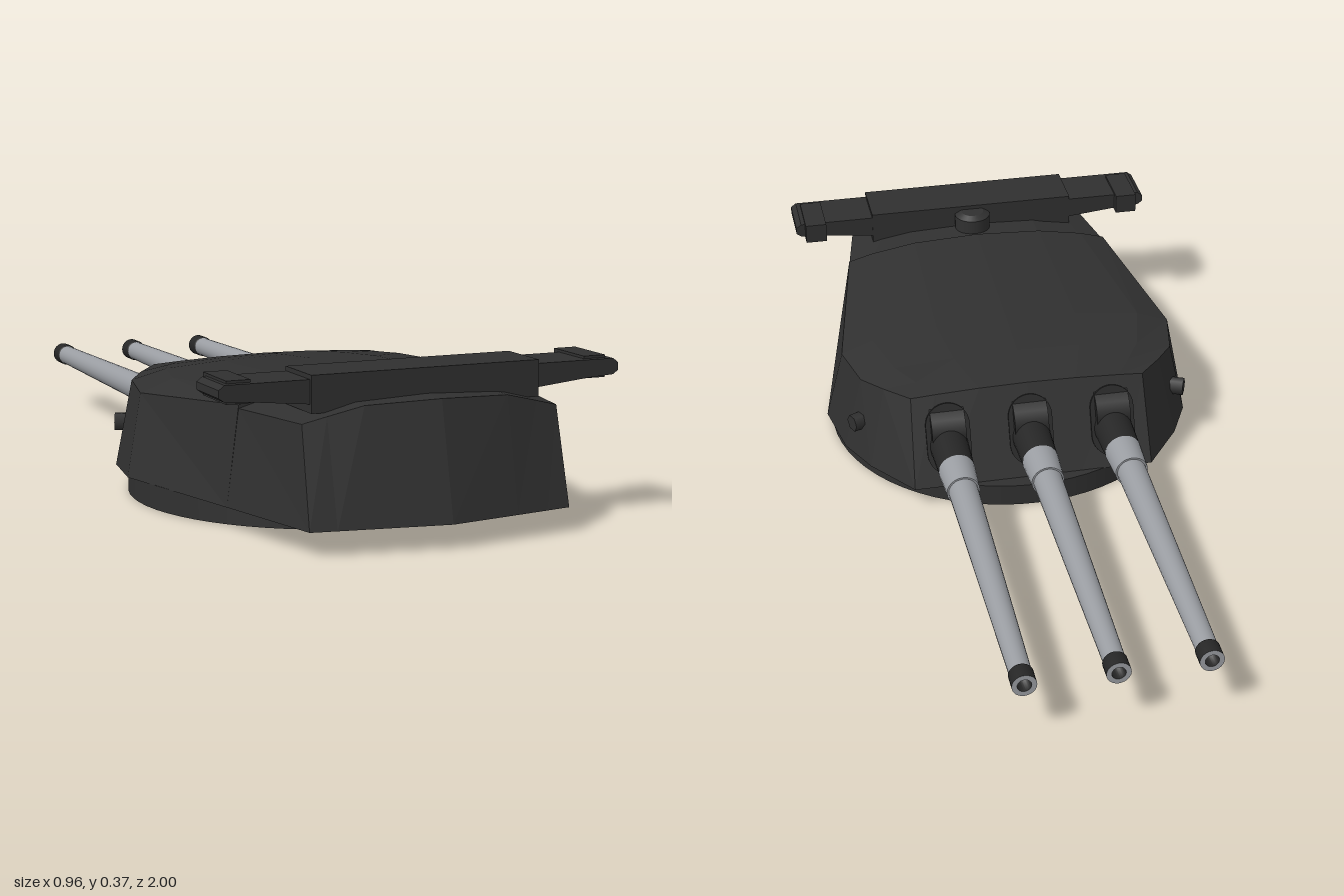
import * as THREE from 'three';

const mat = (name, color, side = THREE.FrontSide) => {
  const m = new THREE.MeshStandardMaterial({ color, side });
  m.name = name;
  return m;
};

// Lofts mirrored half-sections (outer edge to centre line), rear to front, and closes the floor
function loftHull(rows) {
  const full = rows.map(h => [
    ...h.map(([x, y, z]) => [-x, y, z]),
    ...h.slice(0, -1).reverse(),
  ]);
  const pos = [];
  const tri = (a, b, c) => {
    const t = new THREE.Triangle(...[a, b, c].map(p => new THREE.Vector3(...p)));
    if (t.getArea() > 1e-7) pos.push(...a, ...b, ...c);
  };
  const last = full[0].length - 1;
  for (let r = 0; r < full.length - 1; r++) {
    for (let c = 0; c < last; c++) {
      const [a, b, d, e] = [full[r][c], full[r][c + 1], full[r + 1][c + 1], full[r + 1][c]];
      tri(a, b, d);
      tri(a, d, e);
    }
  }
  const loop = [
    ...full[0],
    ...full.slice(1).map(r => r[last]),
    ...full[full.length - 1].slice().reverse(),
    ...full.slice(1).map(r => r[0]).reverse(),
  ];
  const mid = [0, loop[0][1], 0.35];
  loop.forEach((p, i) => tri(mid, loop[(i + 1) % loop.length], p));
  const g = new THREE.BufferGeometry();
  g.setAttribute('position', new THREE.Float32BufferAttribute(pos, 3));
  g.computeVertexNormals();
  return g;
}

export function createModel() {
  const model = new THREE.Group();
  model.name = 'gunTurret';
  const armour = mat('charcoal armour', 0x303030);
  const dark = mat('dark fittings', 0x262626, THREE.DoubleSide);
  const steel = mat('barrel steel', 0x9a9da2);

  const add = (name, geo, material, x = 0, y = 0, z = 0, parent = model) => {
    const m = new THREE.Mesh(geo, material);
    m.name = name;
    m.position.set(x, y, z);
    parent.add(m);
    return m;
  };

  // Turntable ring
  add('baseRing', new THREE.CylinderGeometry(0.45, 0.45, 0.056, 64), armour, 0, 0.028, 0.305);

  // Armoured house: each row is floor edge, roof edge, shoulder, quarter, centre
  const f = 0.055;
  add('armouredHouse', loftHull([
    [[0.31, f, 0.95], [0.31, f, 0.95], [0.25, f, 0.96], [0.17, f, 0.973], [0, f, 1]],
    [[0.31, f, 0.95], [0.304, 0.274, 0.895], [0.25, 0.288, 0.904], [0.17, 0.308, 0.917], [0, 0.315, 0.94]],
    [[0.377, f, 0.66], [0.349, 0.272, 0.66], [0.285, 0.29, 0.66], [0.17, 0.31, 0.66], [0, 0.317, 0.66]],
    [[0.377, f, 0.66], [0.349, 0.28, 0.66], [0.285, 0.298, 0.66], [0.17, 0.318, 0.66], [0, 0.326, 0.66]],
    [[0.468, f, 0.275], [0.426, 0.247, 0.25], [0.345, 0.277, 0.25], [0.18, 0.297, 0.25], [0, 0.303, 0.25]],
    [[0.442, f, 0.12], [0.397, 0.254, 0.11], [0.31, 0.276, 0.11], [0.16, 0.287, 0.11], [0, 0.291, 0.11]],
    [[0.392, f, 0.016], [0.35, 0.261, 0.045], [0.27, 0.274, 0.04], [0.14, 0.281, 0.04], [0, 0.284, 0.04]],
    [[0.3, f, -0.108], [0.292, 0.266, -0.02], [0.23, 0.27, -0.02], [0.12, 0.275, -0.02], [0, 0.277, -0.02]],
    [[0.3, f, -0.108], [0.3, f, -0.108], [0.23, f, -0.108], [0.12, f, -0.108], [0, f, -0.108]],
  ]), armour);

  // Rangefinder across the rear roof
  add('rangefinderBody', new THREE.BoxGeometry(0.544, 0.082, 0.135), armour, 0, 0.331, 0.805);
  add('rangefinderHatch', new THREE.CylinderGeometry(0.047, 0.047, 0.045, 24), armour, 0, 0.33, 0.727);
  add('hatchCap', new THREE.CylinderGeometry(0.03, 0.047, 0.01, 24), armour, 0, 0.357, 0.727);
  const arm = new THREE.Shape([
    [0.26, 0.308], [0.4, 0.322], [0.465, 0.326], [0.478, 0.335],
    [0.478, 0.352], [0.465, 0.362], [0.26, 0.362],
  ].map(p => new THREE.Vector2(...p)));
  for (const s of [1, -1]) {
    const side = new THREE.Group();
    side.name = s > 0 ? 'leftRangefinderArm' : 'rightRangefinderArm';
    side.rotation.y = s > 0 ? 0 : Math.PI;
    side.position.z = s > 0 ? 0 : 1.605;
    model.add(side);
    const geo = new THREE.ExtrudeGeometry(arm, { depth: 0.125, bevelEnabled: false });
    add('arm', geo, armour, 0, 0, 0.74, side);
    add('opticHousing', new THREE.BoxGeometry(0.055, 0.05, 0.13), armour, 0.427, 0.343, s > 0 ? 0.783 : 0.822, side);
    // Side lug on the house wall
    const lug = add('sideLug', new THREE.CylinderGeometry(0.022, 0.022, 0.05, 6), armour, s * 0.405, 0.15, 0.085);
    lug.rotation.set(0, s * 0.42, Math.PI / 2);
  }

  // Capsule gun port laid on the sloping front plate
  const port = new THREE.Shape();
  port.absarc(0, 0.035, 0.055, 0, Math.PI);
  port.absarc(0, -0.035, 0.055, Math.PI, Math.PI * 2);
  const portGeo = new THREE.ExtrudeGeometry(port, { depth: 0.009, bevelEnabled: false });

  // Turned profile along the barrel axis
  const turned = pts => new THREE.LatheGeometry(
    pts.map(([r, z]) => new THREE.Vector2(r, z)), 24).rotateX(-Math.PI / 2);
  const sleeveGeo = new THREE.CylinderGeometry(0.044, 0.05, 0.17, 24).rotateX(-Math.PI / 2);
  const collarGeo = new THREE.CylinderGeometry(0.04, 0.045, 0.09, 24).rotateX(-Math.PI / 2);
  const barrelGeo = new THREE.CylinderGeometry(0.025, 0.036, 0.7, 24).rotateX(-Math.PI / 2);
  const muzzleGeo = turned([[0.024, 0.955], [0.028, 0.96], [0.028, 1]]);
  const rimGeo = new THREE.RingGeometry(0.016, 0.028, 24).rotateY(Math.PI);
  const boreGeo = turned([[0.016, 1], [0.016, 0.965], [0, 0.965]]);
  const shieldGeo = new THREE.CylinderGeometry(0.075, 0.075, 0.085, 24).rotateZ(Math.PI / 2);

  // Three guns
  for (const [side, x] of [['left', 0.207], ['centre', 0], ['right', -0.207]]) {
    const gun = new THREE.Group();
    gun.name = side + 'Gun';
    gun.position.set(x, 0.15, 0);
    model.add(gun);
    const plate = add('gunPort', portGeo, dark, 0, 0.016, -0.063, gun);
    plate.rotation.x = 0.373;
    plate.translateZ(-0.006);
    add('gunShield', shieldGeo, dark, 0, 0.016, -0.01, gun);
    add('sleeve', sleeveGeo, dark, 0, 0, -0.095, gun);
    add('collar', collarGeo, steel, 0, 0, -0.225, gun);
    add('barrel', barrelGeo, steel, 0, 0, -0.61, gun);
    add('muzzleBand', muzzleGeo, dark, 0, 0, 0, gun);
    add('muzzleRim', rimGeo, steel, 0, 0, -1, gun);
    add('bore', boreGeo, dark, 0, 0, 0, gun);
  }
  return model;
}
